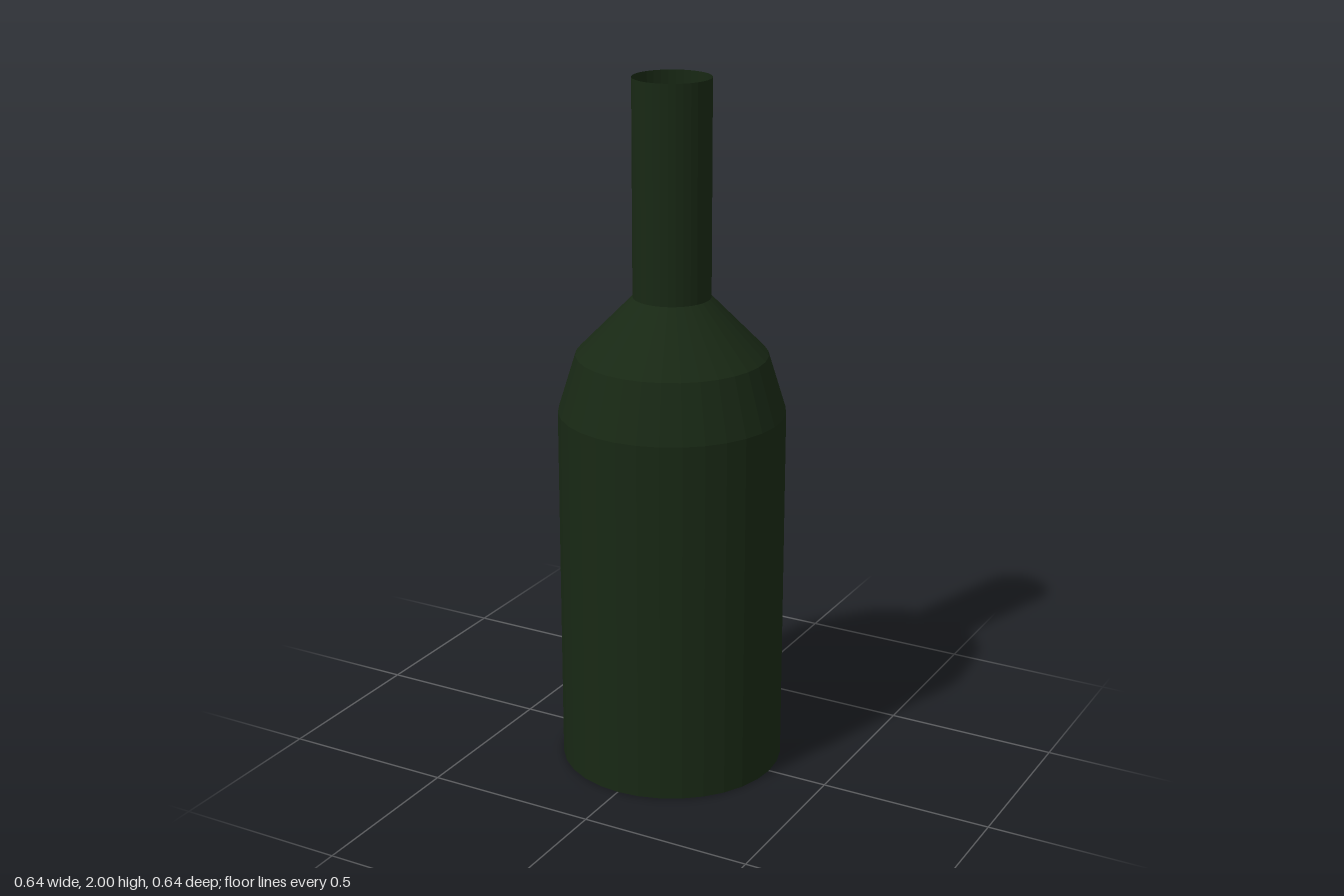
import * as THREE from 'three';

const SIDES = 32;

export function createModel() {
  const group = new THREE.Group();
  group.name = 'bottle';
  const glass = new THREE.MeshStandardMaterial({
    color: 0x182814, flatShading: true, side: THREE.DoubleSide,
  });

  // Each part is a lathed run of [radius, height] points
  const addPart = (name, profile) => {
    const points = profile.map(([r, y]) => new THREE.Vector2(r, y));
    const mesh = new THREE.Mesh(new THREE.LatheGeometry(points, SIDES), glass);
    mesh.name = name;
    group.add(mesh);
  };

  addPart('base', [[0, 0], [0.322, 0]]);
  addPart('body', [[0.322, 0], [0.322, 1.06]]);
  addPart('shoulder', [[0.322, 1.06], [0.271, 1.225], [0.11, 1.39]]);
  // Thin neck, open at the mouth
  addPart('neck', [[0.11, 1.39], [0.11, 2]]);

  return group;
}
